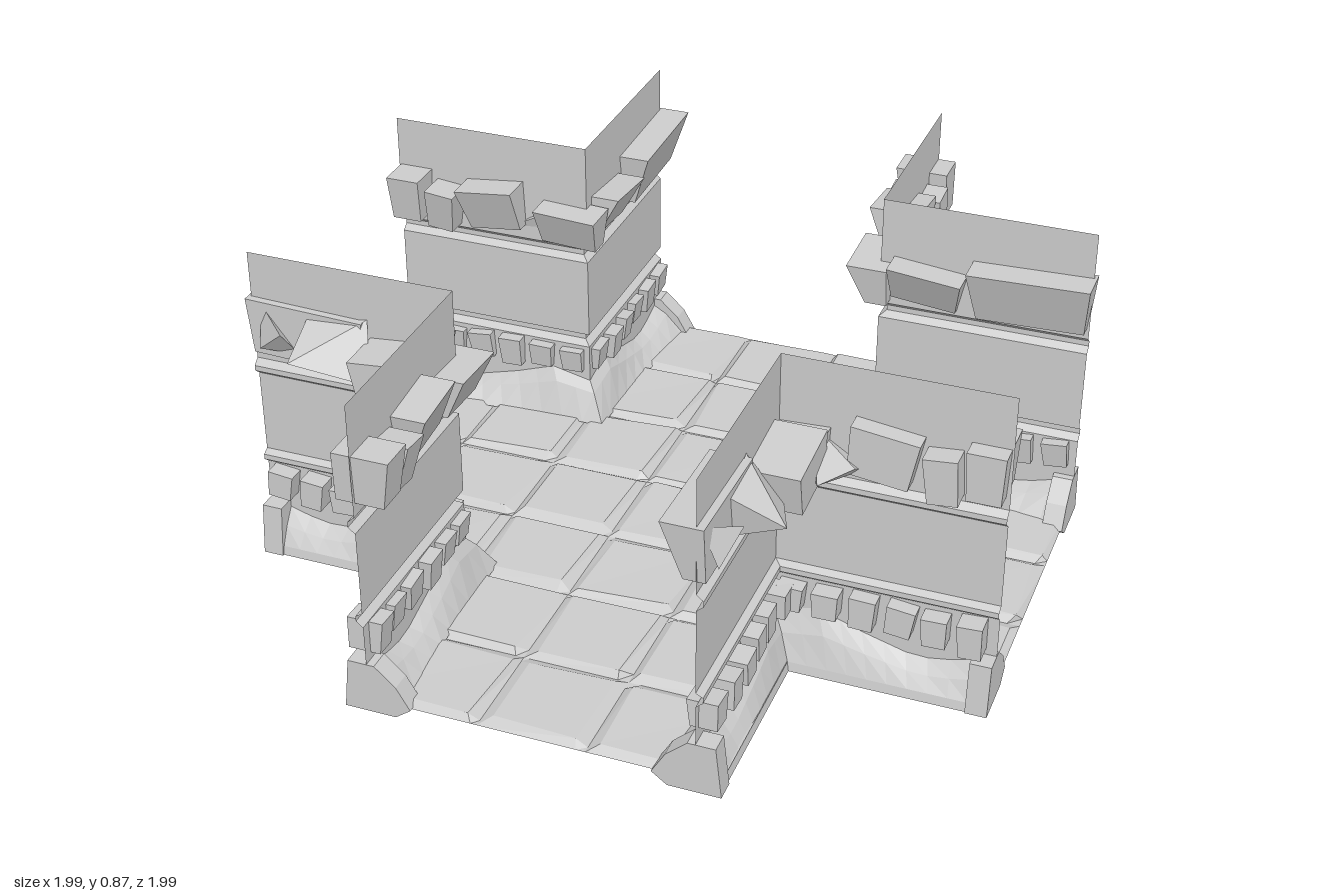
import * as THREE from 'three';
import { ConvexGeometry } from 'three/addons/geometries/ConvexGeometry.js';

const mat = new THREE.MeshStandardMaterial({ color: 0xcccccc, flatShading: true, side: THREE.DoubleSide });
const END = 0.985;

let seed = 7;
const jitter = (a) => {
  seed = (seed * 16807) % 2147483647;
  return (seed / 2147483647 - 0.5) * 2 * a;
};

function mesh(name, geo, parent) {
  const m = new THREE.Mesh(geo, mat);
  m.name = name;
  parent.add(m);
  return m;
}

// Sheet through rows of points of equal length
function sheet(rows) {
  const pos = [], idx = [], n = rows[0].length;
  rows.forEach((row, r) => row.forEach((p, c) => {
    pos.push(...p);
    if (r && c) {
      const k = r * n + c;
      idx.push(k - n - 1, k - 1, k - n, k - n, k - 1, k);
    }
  }));
  const g = new THREE.BufferGeometry();
  g.setAttribute('position', new THREE.Float32BufferAttribute(pos, 3));
  g.setIndex(idx);
  const flat = g.toNonIndexed();
  flat.computeVertexNormals();
  return flat;
}

// Point on the L-shaped path: t = -1 end along x, 0 inner corner, 1 end along z
function onPath(t, d, y) {
  const s = d + (END - d) * Math.abs(t);
  return t < 0 ? [s, y, d] : [d, y, s];
}
const steps = Array.from({ length: 21 }, (_, i) => i / 10 - 1);
const pathRow = (d, y) => steps.map((t) => onPath(t,
  typeof d === 'function' ? d(Math.abs(t)) : d,
  typeof y === 'function' ? y(Math.abs(t)) : y));

// Wavy line where wall meets rubble
function wave(f) {
  const keys = [[0, 0.14], [0.2, 0.165], [0.4, 0.125], [0.65, 0.085], [0.85, 0.105], [1, 0.14]];
  const i = Math.max(1, keys.findIndex((k) => f <= k[0] + 1e-6));
  const [a, b] = [keys[i - 1], keys[i]];
  return a[1] + (b[1] - a[1]) * (f - a[0]) / (b[0] - a[0]);
}

// Bevelled floor tile, open below
function tile(x0, x1, z0, z1, parent) {
  const w = x1 - x0, l = z1 - z0;
  const g = new THREE.PlaneGeometry(1, 1, 3, 3).rotateX(-Math.PI / 2);
  const p = g.attributes.position;
  for (let i = 0; i < p.count; i++) {
    const u = p.getX(i), v = p.getZ(i);
    const inU = Math.abs(u) < 0.3, inV = Math.abs(v) < 0.3;
    const x = inU ? Math.sign(u) * (w / 2 - 0.024 + jitter(0.01)) : u * w;
    const z = inV ? Math.sign(v) * (l / 2 - 0.024 + jitter(0.01)) : v * l;
    p.setXYZ(i, x + (x0 + x1) / 2, inU && inV ? 0.042 + jitter(0.003) : 0.026, z + (z0 + z1) / 2);
  }
  mesh('floorTile', g.toNonIndexed(), parent);
}

// Block through a wall; its lower end narrows and draws back to the wall
function rock(name, leg, s0, s1, d0, d1, y0, y1, lean, roll, parent) {
  const w = s1 - s0, h = y1 - y0, depth = d1 - d0, side = leg === 'x' ? 1 : -1;
  const g = new THREE.BoxGeometry(w, h, depth);
  const p = g.attributes.position;
  for (let i = 0; i < p.count; i++) {
    if (p.getY(i) > 0) continue;
    p.setX(i, p.getX(i) * 0.88);
    if (p.getZ(i) * side < 0) p.setZ(i, p.getZ(i) + side * lean);
  }
  g.rotateZ(roll);
  g.translate((s0 + s1) / 2, (y0 + y1) / 2, side * (d0 + d1) / 2);
  if (side < 0) g.rotateY(-Math.PI / 2);
  mesh(name, g, parent);
}

function shard(points, parent) {
  mesh('rockShard', new ConvexGeometry(points.map((p) => new THREE.Vector3(...p))), parent);
}

function buildCorner() {
  const corner = new THREE.Group();
  corner.name = 'cornerWall';

  // Wall with two recessed bands
  const profile = [[0.42, 0.87], [0.42, 0.565], [0.438, 0.55], [0.438, 0.535], [0.42, 0.52],
    [0.42, 0.29], [0.438, 0.28], [0.438, 0.265], [0.42, 0.25], [0.42, wave]];
  mesh('wallPanel', sheet(profile.map(([d, y]) => pathRow(d, y))), corner);

  // Sloped rubble inside, hem outside
  const toe = (f) => 0.36 - 0.04 * f * f;
  mesh('rubbleSlope', sheet([
    pathRow(0.42, wave),
    pathRow((f) => 0.4 - 0.02 * f, (f) => wave(f) * 0.8),
    pathRow(toe, 0.035),
  ]), corner);
  mesh('rubbleHem', sheet([
    pathRow(0.42, wave),
    pathRow(0.45, (f) => wave(f) * 0.65),
    pathRow(0.475, 0.025),
    pathRow(0.48, 0),
  ]), corner);

  // Flared feet and small blocks along both legs
  for (const leg of ['x', 'z']) {
    const pts = [];
    for (const s of [0.93, END]) {
      for (const [d, y] of [[0.31, 0.03], [0.35, 0], [0.345, 0.09], [0.4, 0.14], [0.47, 0.14], [0.485, 0]]) {
        pts.push(new THREE.Vector3(...(leg === 'x' ? [s, y, d] : [d, y, s])));
      }
    }
    mesh('foot', new ConvexGeometry(pts), corner);
    for (let i = 0; i < 6; i++) {
      const s = 0.435 + i * 0.092;
      rock('smallBlock', leg, s, s + 0.065 + jitter(0.008), 0.39 + jitter(0.008), 0.47 + jitter(0.012),
        0.165 + jitter(0.008), 0.242 + jitter(0.006), 0.01, jitter(0.12), corner);
    }
  }

  // Large broken blocks above the upper band: leg, along, depth, height, lean, roll
  const blocks = [
    ['x', 0.37, 0.55, 0.34, 0.45, 0.58, 0.69, 0.05, 0.05],
    ['x', 0.6, 0.77, 0.33, 0.47, 0.6, 0.73, 0.05, -0.12],
    ['x', 0.79, 0.875, 0.33, 0.48, 0.58, 0.7, 0.03, 0.1],
    ['x', 0.885, 0.98, 0.325, 0.47, 0.6, 0.73, 0.02, 0],
    ['z', 0.45, 0.65, 0.34, 0.55, 0.59, 0.7, 0.06, -0.1],
    ['z', 0.67, 0.995, 0.335, 0.44, 0.59, 0.74, 0.05, 0.03],
  ];
  for (const b of blocks) rock('brokenBlock', ...b, corner);

  // Pointed shards behind the blocks
  shard([[0.42, 0.74, 0.66], [0.42, 0.58, 0.68], [0.44, 0.72, 0.82], [0.57, 0.665, 0.81],
    [0.5, 0.6, 0.62], [0.42, 0.6, 0.8]], corner);
  shard([[0.5, 0.68, 0.4], [0.5, 0.58, 0.43], [0.56, 0.62, 0.56], [0.63, 0.64, 0.49], [0.64, 0.6, 0.42]], corner);
  shard([[0.42, 0.73, 0.96], [0.42, 0.6, 0.86], [0.49, 0.69, 0.87], [0.46, 0.62, 0.95]], corner);
  return corner;
}

export function createModel() {
  const model = new THREE.Group();
  model.name = 'corridorCrossing';

  // Cross-shaped tiled floor; arm edge tiles reach past the walls
  const floor = new THREE.Group();
  floor.name = 'floor';
  for (let i = -3; i <= 3; i++) {
    for (let j = -3; j <= 3; j++) {
      if (Math.abs(i) > 1 && Math.abs(j) > 1) continue;
      const span = (a, other) => [-1, 1].map((e) =>
        (a + e / 2) * 0.28 + (Math.abs(other) > 1 && a === e ? e * 0.057 : 0));
      tile(...span(i, j), ...span(j, i), floor);
    }
  }
  floor.position.set(-0.007, 0, -0.005);
  model.add(floor);

  // Four identical corners
  const walls = new THREE.Group();
  walls.name = 'walls';
  const corner = buildCorner();
  for (let k = 0; k < 4; k++) {
    const c = corner.clone();
    c.rotation.y = k * Math.PI / 2;
    walls.add(c);
  }
  walls.position.set(-0.006, 0, 0.003);
  model.add(walls);
  return model;
}
